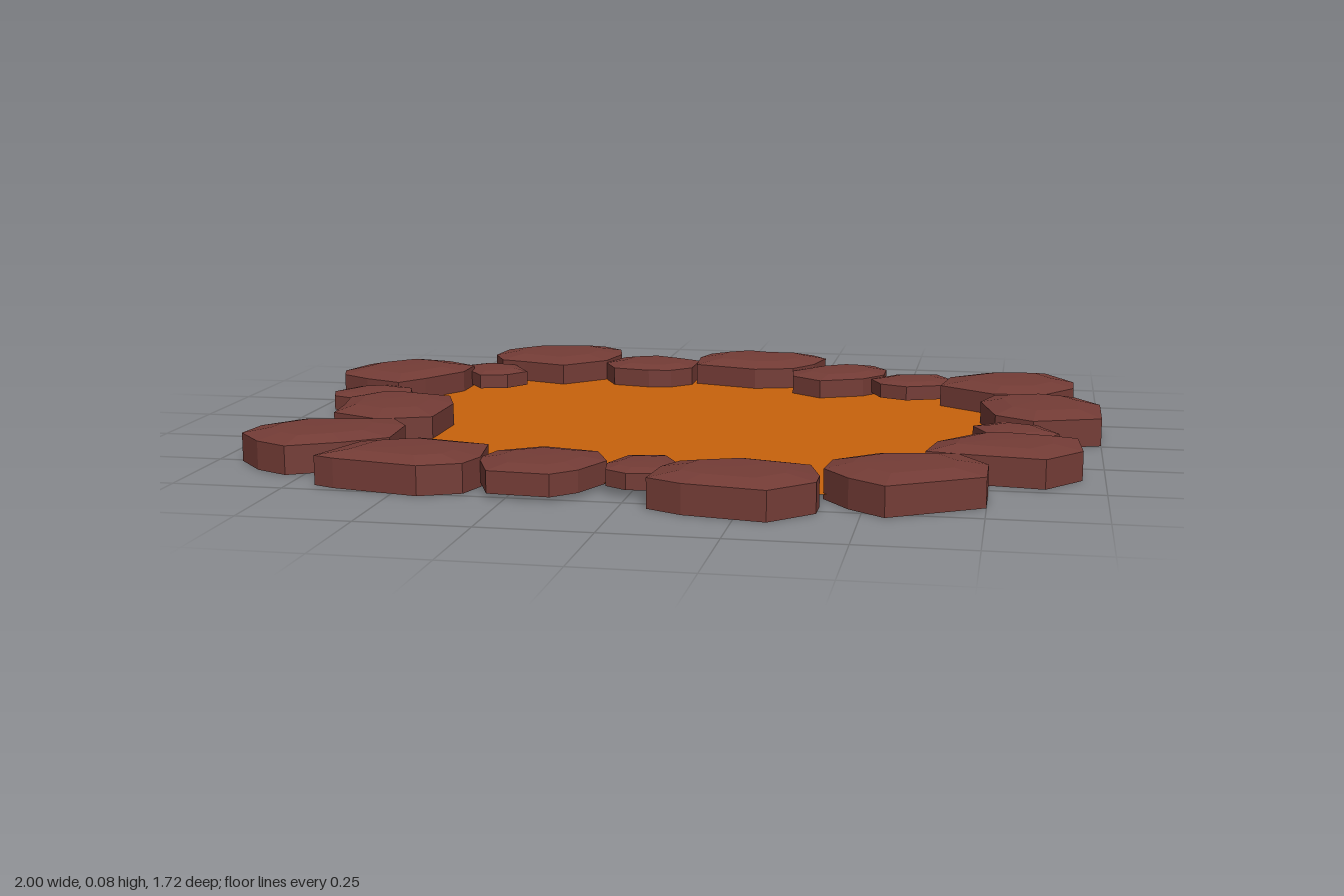
import * as THREE from 'three';

const stoneMaterial = new THREE.MeshStandardMaterial({ color: 0x743c36, flatShading: true });
const lavaMaterial = new THREE.MeshStandardMaterial({ color: 0xc8620c, side: THREE.DoubleSide });

const MID = 0.04; // all stones are centred on this height
const LARGE = 0.04, MEDIUM = 0.03, SMALL = 0.022; // half heights

// Average of the outline corners
function centreOf(outline) {
  const c = new THREE.Vector2();
  outline.forEach((p) => c.add(p));
  return c.divideScalar(outline.length);
}

// Slab with upright walls, a sloping shoulder and a slightly domed top
function stoneGeometry(outline, half) {
  const c = centreOf(outline);
  const rings = [
    [0, MID - half], [1, MID - half],
    [1, MID + half * 0.65], [0.62, MID + half * 0.96], [0, MID + half],
  ];
  const n = outline.length;
  const corner = ([scale, y], i) => {
    const p = outline[i % n];
    return [c.x + (p.x - c.x) * scale, y, c.y + (p.y - c.y) * scale];
  };
  const positions = [];
  for (let r = 0; r < rings.length - 1; r++) {
    const low = rings[r], high = rings[r + 1];
    for (let i = 0; i < n; i++) {
      if (low[0] > 0) positions.push(...corner(low, i + 1), ...corner(low, i), ...corner(high, i));
      if (high[0] > 0) positions.push(...corner(low, i + 1), ...corner(high, i), ...corner(high, i + 1));
    }
  }
  const geometry = new THREE.BufferGeometry();
  geometry.setAttribute('position', new THREE.Float32BufferAttribute(positions, 3));
  geometry.computeVertexNormals();
  return geometry;
}

export function createModel() {
  const model = new THREE.Group();
  model.name = 'lavaPool';
  const rim = new THREE.Group();
  rim.name = 'stoneRim';
  model.add(rim);
  const centres = [];

  // Outline as x, z pairs in hundredths, clockwise seen from above
  function stone(half, ...xz) {
    const outline = [];
    for (let i = 0; i < xz.length; i += 2) outline.push(new THREE.Vector2(xz[i] / 100, xz[i + 1] / 100));
    const mesh = new THREE.Mesh(stoneGeometry(outline, half), stoneMaterial);
    centres.push(centreOf(outline));
    mesh.name = 'stone' + centres.length;
    rim.add(mesh);
  }

  // Back edge, from right to left of the model
  stone(LARGE, -67, -66, -66, -76, -60, -82, -40, -86, -34, -81, -32, -73, -34, -62, -44, -52, -56, -56, -63, -58);
  stone(MEDIUM, -34, -62, -31, -72, -22, -76, -13, -72, -9, -70, -9, -58, -14, -53, -20, -52, -30, -54);
  stone(LARGE, -9, -72, -7, -79, 1, -84, 10, -81, 22, -81, 26, -76, 24, -66, 19, -58, 9, -55, -8, -60);
  stone(MEDIUM, 19, -58, 24, -65, 33, -71, 40, -70, 44, -64, 44, -56, 39, -49, 28, -44, 20, -50);
  stone(SMALL, 41, -52, 47, -60, 58, -62, 62, -55, 61, -46, 51, -42, 44, -45);

  // Left side
  stone(LARGE, 60, -39, 62, -52, 71, -60, 87, -62, 94, -50, 94, -41, 87, -31, 74, -29);
  stone(LARGE, 71, -18, 74, -27, 85, -31, 94, -28, 100, -19, 100, -1, 84, 5, 75, -1);
  stone(SMALL, 70, 7, 77, 1, 85, 4, 90, 13, 88, 17, 80, 20, 74, 16);
  stone(LARGE, 61, 43, 63, 32, 71, 22, 79, 20, 94, 23, 95, 37, 87, 47, 72, 45);

  // Front edge
  stone(LARGE, 41, 64, 42, 55, 51, 47, 68, 44, 75, 54, 75, 66, 55, 78, 47, 72);
  stone(LARGE, 6, 79, 7, 68, 10, 62, 23, 57, 38, 61, 41, 71, 41, 77, 32, 86, 14, 83);
  stone(SMALL, -6, 62, -3, 53, 5, 52, 11, 63, 8, 70, 0, 71, -5, 68);
  stone(MEDIUM, -34, 64, -32, 56, -23, 50, -10, 53, -6, 62, -10, 72, -15, 77, -29, 76);
  stone(LARGE, -69, 71, -64, 55, -52, 49, -35, 53, -33, 66, -35, 73, -44, 77, -64, 73);

  // Right side
  stone(LARGE, -94, 51, -93, 42, -86, 33, -65, 29, -60, 36, -59, 50, -68, 57, -79, 63, -87, 59);
  stone(LARGE, -85, 4, -81, -3, -72, -5, -61, -2, -57, 8, -57, 25, -69, 30, -82, 24, -83, 14);
  stone(SMALL, -94, -9, -90, -17, -84, -20, -76, -17, -74, -10, -77, -4, -85, 0, -92, -3);
  stone(LARGE, -100, -33, -97, -44, -86, -55, -77, -53, -68, -47, -68, -37, -75, -25, -80, -18, -90, -22, -98, -27);
  stone(SMALL, -73, -53, -67, -59, -59, -57, -53, -47, -57, -41, -64, -39, -69, -46);

  // Flat lava sheet whose edge runs from stone centre to stone centre
  const shape = new THREE.Shape(centres.map((c) => new THREE.Vector2(c.x, -c.y)));
  const lava = new THREE.Mesh(new THREE.ShapeGeometry(shape).rotateX(-Math.PI / 2), lavaMaterial);
  lava.name = 'lavaSurface';
  lava.position.y = 0.013;
  model.add(lava);

  return model;
}
